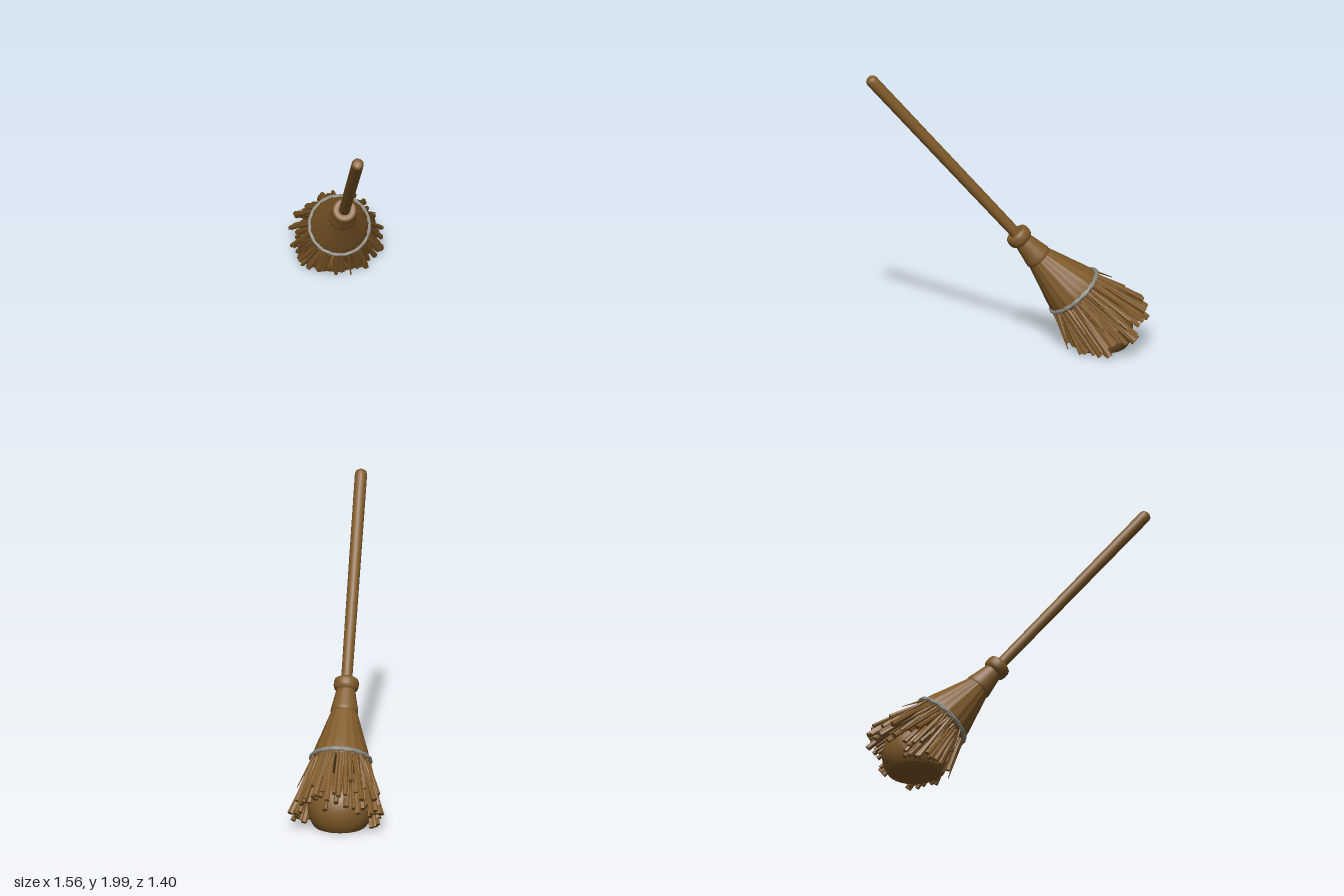
import * as THREE from 'three';
import { mergeGeometries } from 'three/addons/utils/BufferGeometryUtils.js';

const GROUND = 0.008;
const origin = new THREE.Vector3(0.01, 0.815, 0.01); // centre of the collar
const gripEnd = new THREE.Vector3(-0.75, 1.972, 0.655);
const axis = origin.clone().sub(gripEnd).normalize(); // points towards the bristles
const UP = new THREE.Vector3(0, 1, 0);
const tilt = new THREE.Quaternion().setFromUnitVectors(UP, axis);
const lift = UP.clone().addScaledVector(axis, -axis.y).normalize(); // upper side of the broom
const drag = UP.clone().multiplyScalar(0.6).addScaledVector(axis, -0.4); // how straw yields to the ground

// Small seeded random numbers
let seed = 11;
const rand = (a = 0, b = 1) => {
  seed = (seed * 16807) % 2147483647;
  return a + (b - a) * (seed / 2147483647);
};

// Point in the straw at distance t, radius r and angle a; the head bends up slightly
const at = (t, r, a) =>
  new THREE.Vector3(r * Math.cos(a), t, r * Math.sin(a)).applyQuaternion(tilt).add(origin)
    .addScaledVector(lift, 0.016 * Math.min(1, Math.max(0, t - 0.15) / 0.4));

// Place an upright geometry along the broom
const place = (geometry) =>
  geometry.applyQuaternion(tilt).translate(origin.x, origin.y, origin.z);

const lathe = (profile, sides) =>
  new THREE.LatheGeometry(profile.map(([r, t]) => new THREE.Vector2(r, t)), sides);

// Press everything below the ground flat
function flatten(geometry) {
  const p = geometry.attributes.position;
  for (let i = 0; i < p.count; i++) p.setY(i, Math.max(p.getY(i), GROUND));
  geometry.computeVertexNormals();
  return geometry;
}

// One straw from a to b, bent and shortened where it would pass the ground
function straw(a, b, r0, r1, flat) {
  if (b.y < 0.022) b.addScaledVector(drag, (0.022 - b.y) / drag.y);
  const dir = b.clone().sub(a);
  const g = new THREE.CylinderGeometry(r1, r0, dir.length(), 6).toNonIndexed();
  g.scale(1, 1, flat);
  g.rotateY(rand(0, Math.PI));
  g.applyQuaternion(new THREE.Quaternion().setFromUnitVectors(UP, dir.normalize()));
  const mid = a.clone().add(b).multiplyScalar(0.5);
  return flatten(g.translate(mid.x, mid.y, mid.z));
}

export function createModel() {
  const wood = new THREE.MeshStandardMaterial({ color: 0x805a29 });
  const wire = new THREE.MeshStandardMaterial({ color: 0x8f8b83 });
  wood.name = 'brown wood and straw';
  wire.name = 'grey wire';

  const group = new THREE.Group();
  group.name = 'broom';
  const add = (name, geometry, material) => {
    const mesh = new THREE.Mesh(geometry, material);
    mesh.name = name;
    group.add(mesh);
  };

  // Handle with a softly rounded grip end
  const top = -gripEnd.distanceTo(origin);
  add('handle', place(lathe([
    [0, top - 0.016], [0.022, top - 0.014], [0.035, top - 0.004], [0.041, top + 0.015],
    [0.041, top + 0.04], [0.039, -0.5], [0.037, 0.05]], 20)), wood);

  // Collar and neck
  add('collar', place(lathe([
    [0.035, -0.03], [0.062, -0.038], [0.078, -0.028], [0.084, -0.01], [0.084, 0.018],
    [0.078, 0.038], [0.066, 0.048], [0.058, 0.056]], 24)), wood);
  add('neck', place(lathe([
    [0.058, 0.03], [0.066, 0.06], [0.074, 0.1], [0.083, 0.145], [0.091, 0.18],
    [0.093, 0.2], [0.09, 0.212], [0.08, 0.216]], 24)), wood);

  // Bound straw cone with shallow lengthwise ridges
  const cone = lathe([[0.08, 0.18], [0.089, 0.215], [0.117, 0.3], [0.145, 0.39],
    [0.172, 0.47], [0.191, 0.54], [0.194, 0.57], [0.17, 0.59], [0, 0.6]], 72);
  const c = cone.attributes.position;
  for (let i = 0; i < c.count; i++) {
    const a = Math.atan2(c.getZ(i), c.getX(i));
    const k = 1 + 0.016 * Math.sin(17 * a) + 0.012 * Math.sin(29 * a + 1);
    const p = at(c.getY(i), Math.hypot(c.getX(i), c.getZ(i)) * k, a);
    c.setXYZ(i, p.x, p.y, p.z);
  }
  cone.computeVertexNormals();
  add('boundStraw', cone, wood);

  // Rounded core inside the bristles, sitting flat on the ground
  const core = new THREE.SphereGeometry(0.218, 48, 48);
  core.translate(0.425, 0.137, -0.36);
  add('core', flatten(core.toNonIndexed()), wood);

  // Wire ring of two strands, slightly twisted
  for (let s = 0; s < 2; s++) {
    const pts = [];
    for (let i = 0; i < 96; i++) {
      const a = (i / 96) * Math.PI * 2;
      const w = a * 8 + s * Math.PI;
      pts.push(at(0.552 + 0.005 * Math.cos(w), 0.2 + 0.002 * Math.sin(w), a));
    }
    const curve = new THREE.CatmullRomCurve3(pts, true);
    add('wireRing', new THREE.TubeGeometry(curve, 192, 0.011, 8, true), wire);
  }

  // Layers of bristles: count, end radius range, end distance range
  const bristles = [];
  for (const [n, r0, r1, t0, t1] of [
    [42, 0.27, 0.315, 0.9, 1.01], [36, 0.235, 0.285, 0.92, 1.03], [20, 0.235, 0.28, 0.8, 0.92]]) {
    for (let i = 0; i < n; i++) {
      const a = ((i + rand(-0.35, 0.35)) / n) * Math.PI * 2;
      const start = at(rand(0.53, 0.56), rand(0.16, 0.178), a);
      const end = at(rand(t0, t1), rand(r0, r1), a + rand(-0.14, 0.14));
      bristles.push(straw(start, end, 0.014, rand(0.017, 0.024), 0.75));
    }
  }
  add('bristles', mergeGeometries(bristles), wood);

  // Thin pointed stray straws
  const strays = [];
  for (let i = 0; i < 14; i++) {
    const a = ((i + rand(-0.3, 0.3)) / 14) * Math.PI * 2;
    const end = at(rand(0.68, 0.84), rand(0.25, 0.31), a + rand(-0.15, 0.15));
    strays.push(straw(at(0.54, 0.184, a), end, 0.014, 0.004, 0.6));
  }
  add('strayStraws', mergeGeometries(strays), wood);

  return group;
}
